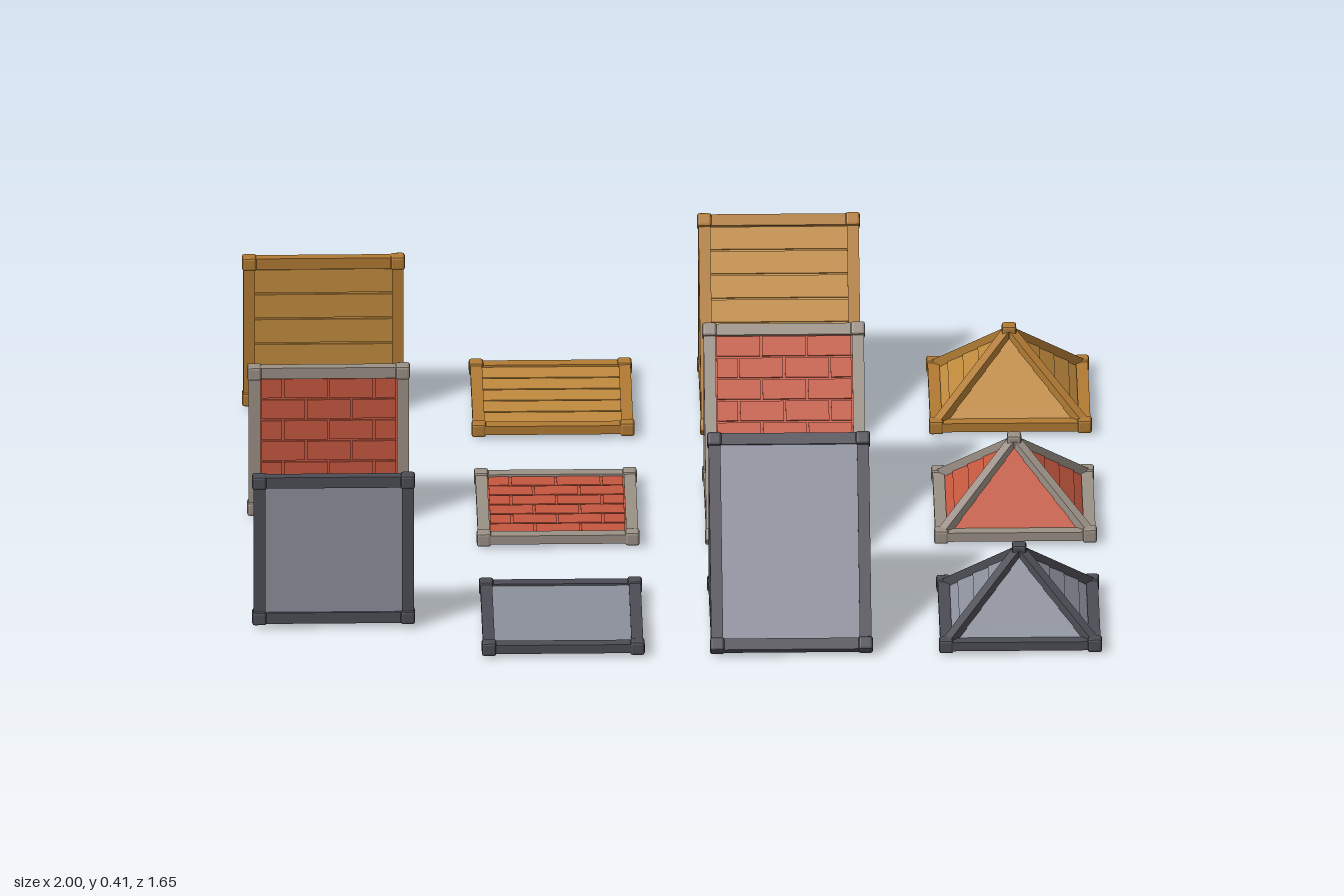
import * as THREE from 'three';
import { RoundedBoxGeometry } from 'three/addons/geometries/RoundedBoxGeometry.js';

const mat = (name, color) => {
  const m = new THREE.MeshStandardMaterial({ color });
  m.name = name;
  return m;
};
const flat = (g) => {
  const f = g.index ? g.toNonIndexed() : g;
  f.computeVertexNormals();
  return f;
};
const V = (x, y, z) => new THREE.Vector3(x, y, z);

const HALF = 0.175;   // half distance between beam centres
const BEAM = 0.028, DEPTH = 0.022, KNOB = 0.034;
const knobGeo = flat(new RoundedBoxGeometry(KNOB, KNOB, KNOB, 1, 0.006));

function add(parent, name, geo, material) {
  const m = new THREE.Mesh(geo, material);
  m.name = name;
  parent.add(m);
  return m;
}

// Straight beam from a to b, w wide and h deep
function beam(parent, name, a, b, w, h, material) {
  const m = add(parent, name, new THREE.BoxGeometry(w, h, a.distanceTo(b)), material);
  m.position.copy(a).add(b).multiplyScalar(0.5);
  m.lookAt(b);
  return m;
}

function knob(parent, p, material) {
  add(parent, 'cornerJoint', knobGeo, material).position.copy(p);
}

// Filling of a panel in the local XY plane
function infill(parent, kind, w, h, s) {
  const box = (name, x, y, bw, bh, d) =>
    add(parent, name, new THREE.BoxGeometry(bw, bh, d), s.fill).position.set(x, y, 0);
  if (kind === 'metal') return box('sheet', 0, 0, w, h, 0.012);
  box('backing', 0, 0, w, h, 0.006);
  const gap = 0.005;
  if (kind === 'wood') {
    const n = Math.round(h / 0.063), ph = h / n;
    for (let i = 0; i < n; i++) box('plank', 0, -h / 2 + (i + 0.5) * ph, w, ph - gap, 0.014);
    return;
  }
  // Brick courses in running bond, cut at the frame
  const n = Math.round(h / 0.054), bh = h / n, bw = w / 3;
  for (let r = 0; r < n; r++) {
    const off = r % 2 ? -bw * 0.5 : 0;
    for (let c = 0; c < 4; c++) {
      const x0 = Math.max(-w / 2, -w / 2 + off + c * bw);
      const x1 = Math.min(w / 2, -w / 2 + off + (c + 1) * bw);
      if (x1 - x0 > 0.01)
        box('brick', (x0 + x1) / 2, -h / 2 + (r + 0.5) * bh, x1 - x0 - gap, bh - gap, 0.014);
    }
  }
}

// Framed panel, centred, facing +z
function panel(name, kind, hw, hh, s) {
  const g = new THREE.Group();
  g.name = name;
  for (const k of [-1, 1]) {
    add(g, 'sideBeam', new THREE.BoxGeometry(BEAM, hh * 2, DEPTH), s.frame).position.x = k * hw;
    add(g, 'crossBeam', new THREE.BoxGeometry(hw * 2, BEAM, DEPTH), s.frame).position.y = k * hh;
    for (const j of [-1, 1]) knob(g, V(k * hw, j * hh, 0), s.frame);
  }
  infill(g, kind, hw * 2 - BEAM, hh * 2 - BEAM, s);
  return g;
}

function wall(kind, s) {
  const g = panel('wall', kind, HALF, HALF, s);
  g.position.y = 0.2;
  return g;
}

function floor(kind, s) {
  const g = panel('floor', kind, HALF, HALF, s);
  g.rotation.x = -Math.PI / 2;
  g.position.y = 0.02;
  return g;
}

function ramp(kind, s) {
  const g = new THREE.Group();
  g.name = 'ramp';
  const y0 = 0.021, y1 = 0.391, z = 0.178;
  const slope = panel('slope', kind, HALF, Math.hypot(y1 - y0, 2 * z) / 2, s);
  slope.position.y = (y0 + y1) / 2;
  slope.rotation.x = -Math.atan2(2 * z, y1 - y0);
  g.add(slope);
  // Rear posts and ground rails
  for (const k of [-1, 1]) {
    const x = k * HALF;
    beam(g, 'rearPost', V(x, y0, -z), V(x, y1 - 0.02, -z), BEAM, DEPTH, s.frame);
    beam(g, 'groundRail', V(x, y0, z), V(x, y0, -z), BEAM, DEPTH, s.frame);
    knob(g, V(x, y0, -z), s.frame);
  }
  return g;
}

function pyramid(kind, s) {
  const g = new THREE.Group();
  g.name = 'pyramidRoof';
  const y0 = 0.018, apex = V(0, 0.183, 0);
  // Lapped courses as four-sided frustums
  const n = 5, bottom = 0.012, top = 0.183, R = HALF * Math.SQRT2, lap = 0.004;
  for (let i = 0; i < n; i++) {
    const r0 = R * (1 - i / n) + (i ? lap : 0), r1 = Math.max(R * (1 - (i + 1) / n) - 0.001, 0.002);
    const h = (top - bottom) / n;
    const geo = flat(new THREE.CylinderGeometry(r1, r0, h, 4));
    const m = add(g, 'roofCourse', geo, s.fill);
    m.rotation.y = Math.PI / 4;
    m.position.y = bottom + (i + 0.5) * h;
  }
  // Base beams, hips and joints
  const c = [[1, 1], [-1, 1], [-1, -1], [1, -1]].map(([x, z]) => V(x * HALF, y0, z * HALF));
  c.forEach((p, i) => {
    beam(g, 'baseBeam', p, c[(i + 1) % 4], BEAM, DEPTH, s.frame);
    beam(g, 'hipBeam', p, apex, 0.022, 0.022, s.frame);
    knob(g, p, s.frame);
  });
  knob(g, apex, s.frame);
  return g;
}

export function createModel() {
  const root = new THREE.Group();
  root.name = 'buildingPieces';
  const sets = {
    wood: { z: -0.625, frame: mat('wood frame', 0xb07a33), fill: mat('wood planks', 0xc08a3e) },
    brick: { z: 0, frame: mat('stone frame', 0x9a9086), fill: mat('red brick', 0xc4573f) },
    metal: { z: 0.625, frame: mat('dark metal frame', 0x4c4c55), fill: mat('metal sheet', 0x8b8f9b) },
  };
  const makers = [[wall, -0.808], [floor, -0.27], [ramp, 0.268], [pyramid, 0.808]];
  for (const [kind, s] of Object.entries(sets)) {
    const row = new THREE.Group();
    row.name = kind + 'Set';
    row.position.z = s.z;
    for (const [make, x] of makers) {
      const piece = make(kind, s);
      piece.position.x = x;
      row.add(piece);
    }
    root.add(row);
  }
  return root;
}
